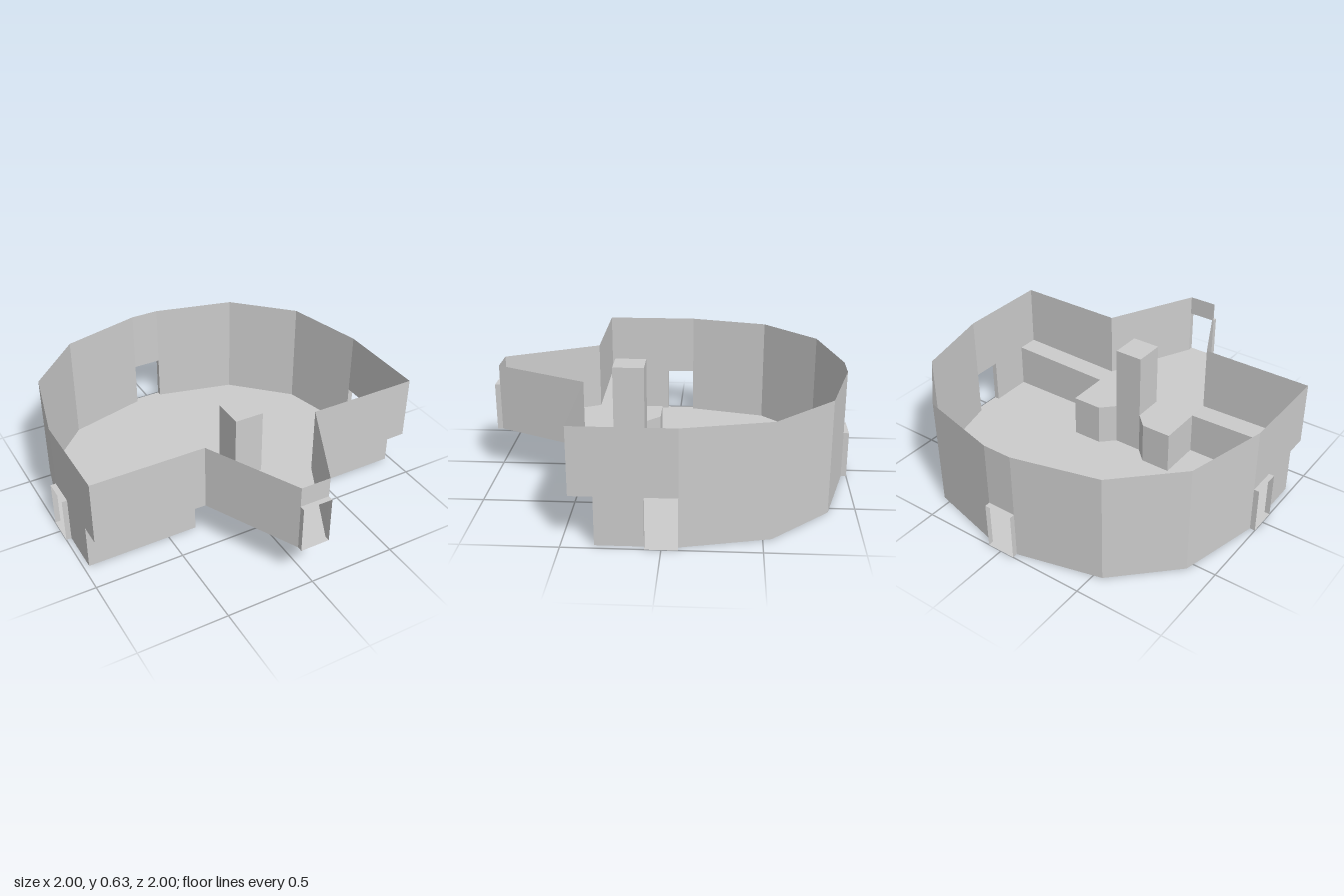
import * as THREE from 'three';

const TOP = 0.63;      // top of the walls
const DECK = 0.25;     // height of the raised deck
const EDGE = 0.265;    // ledge height at the outer walls
const R = 0.97;        // distance of the doorways from the centre
const HALF = 0.083;    // half width of a doorway
const DOOR = 0.266;    // doorway height

const material = new THREE.MeshStandardMaterial({
  color: 0xcccccc, flatShading: true, side: THREE.DoubleSide,
});

function addMesh(parent, name, geometry) {
  const mesh = new THREE.Mesh(geometry, material);
  mesh.name = name;
  parent.add(mesh);
  return mesh;
}

// Flat four-cornered panel, corners counter-clockwise from its front
function quad(parent, name, a, b, c, d) {
  const g = new THREE.BufferGeometry();
  g.setAttribute('position', new THREE.Float32BufferAttribute([a, b, c, a, c, d].flat(), 3));
  g.computeVertexNormals();
  return addMesh(parent, name, g);
}

// Upright wall between two plan points [x, z], its lower edge may slope
function wall(parent, name, [ax, az], [bx, bz], bottomA, bottomB, topA, topB = topA) {
  return quad(parent, name, [ax, bottomA, az], [bx, bottomB, bz], [bx, topB, bz], [ax, topA, az]);
}

// Horizontal slab surface from plan points, facing up
function flat(parent, name, points, y) {
  const shape = new THREE.Shape(points.map(([x, z]) => new THREE.Vector2(x, -z)));
  const g = new THREE.ShapeGeometry(shape);
  g.rotateX(-Math.PI / 2);
  g.translate(0, y, 0);
  return addMesh(parent, name, g);
}

// Right half of an outline followed by its mirror image
const mirrored = (half) => [...half, ...half.map(([x, z]) => [-x, z]).reverse()];

// Open doorway with a shallow frame and the wall above it
function doorway(parent, name, angle, base) {
  const group = new THREE.Group();
  group.name = name;
  const out = 1 - R;
  for (const s of [-1, 1]) {
    wall(group, 'jamb', [s * HALF, s > 0 ? out : 0], [s * HALF, s > 0 ? 0 : out], 0, 0, DOOR);
  }
  flat(group, 'frameTop', [[-HALF, 0], [HALF, 0], [HALF, out], [-HALF, out]], DOOR);
  flat(group, 'sill', [[-HALF, 0], [HALF, 0], [HALF, out], [-HALF, out]], 0);
  wall(group, 'wallAboveDoor', [-HALF, 0], [HALF, 0], DOOR, DOOR, TOP - base);
  group.rotation.y = angle;
  group.position.set(Math.sin(angle) * R, base, Math.cos(angle) * R);
  parent.add(group);
}

export function createModel() {
  const model = new THREE.Group();
  model.name = 'room';

  // Plan points on the +x side
  const back = [[R, HALF], [R, -HALF], [0.858, -0.545], [0.548, -0.852], [HALF, -R]];
  const step = [[HALF, 0.155], [0.158, 0.08], [0.335, 0.08], [0.335, 0.333], [R, 0.333]];

  // Floors
  flat(model, 'lowerFloor', mirrored([...step, ...back]), 0);
  flat(model, 'upperDeck', mirrored([[HALF, R], [0.335, 0.457], ...step.slice(0, 4).reverse().slice(1)]), DECK);

  for (const s of [-1, 1]) {
    const half = new THREE.Group();
    half.name = s > 0 ? 'leftHalf' : 'rightHalf';
    model.add(half);
    const side = (name, a, b, ...heights) => {
      const A = [a[0] * s, a[1]], B = [b[0] * s, b[1]];
      if (s > 0) return wall(half, name, A, B, ...heights);
      const [ba, bb, ta, tb = ta] = heights;
      return wall(half, name, B, A, bb, ba, tb, ta);
    };

    // Faceted back wall
    for (let i = 1; i < back.length - 1; i++) side('backWall', back[i], back[i + 1], 0, 0, TOP);

    // Side wall, with its overhanging front end
    side('sideWall', [R, 0.333], [R, HALF], 0, 0, TOP);
    side('overhangSideWall', [R, 0.457], [R, 0.333], EDGE, EDGE, TOP);

    // Front wall and the tapering entrance passage
    side('frontWall', [0.335, 0.457], [R, 0.457], DECK, EDGE, TOP);
    side('passageWall', [HALF, R], [0.335, 0.457], DECK, DECK, TOP);

    // Step faces between the two floors
    for (let i = 0; i < 3; i++) side('stepFace', step[i], step[i + 1], 0, 0, DECK);
    side('ledgeFace', step[3], step[4], 0, 0, DECK, EDGE);

    // Gently sloping ledge along the front wall
    const ledge = [
      [0.335 * s, DECK, 0.333], [0.335 * s, DECK, 0.457],
      [R * s, EDGE, 0.457], [R * s, EDGE, 0.333],
    ];
    quad(half, 'ledge', ...(s > 0 ? ledge : ledge.reverse()));
  }
  wall(model, 'middleStepFace', [-HALF, 0.155], [HALF, 0.155], 0, 0, DECK);

  // Pillar standing on the deck
  const pillar = addMesh(model, 'pillar', new THREE.BoxGeometry(2 * HALF, TOP - DECK, 0.178));
  pillar.position.set(0, (TOP + DECK) / 2, 0.244);

  // Doorways
  doorway(model, 'frontDoorway', 0, DECK);
  doorway(model, 'leftDoorway', Math.PI / 2, 0);
  doorway(model, 'backDoorway', Math.PI, 0);
  doorway(model, 'rightDoorway', -Math.PI / 2, 0);

  return model;
}
